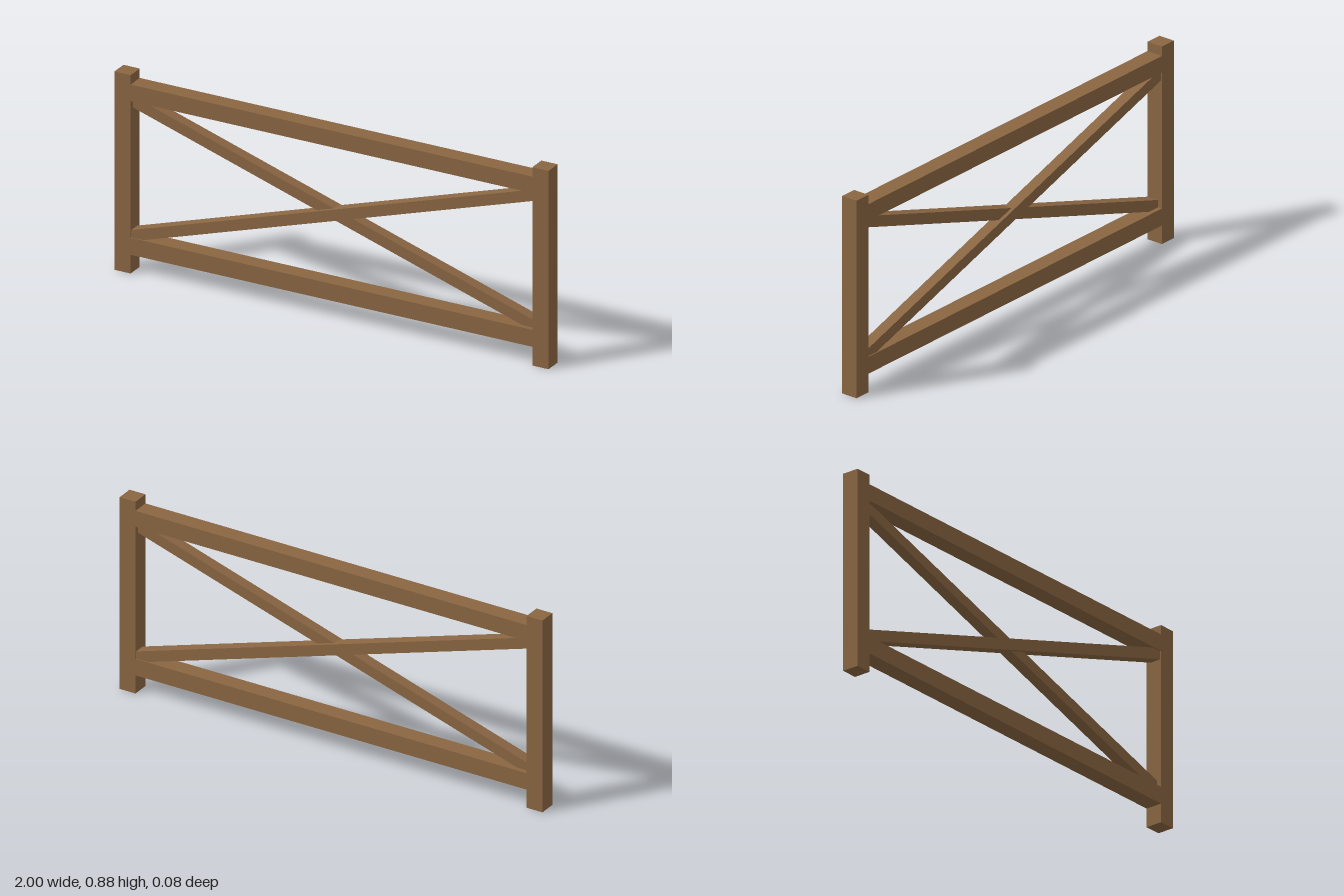
import * as THREE from 'three';

export function createModel() {
  const group = new THREE.Group();
  const wood = new THREE.MeshStandardMaterial({ color: 0x8a6642 });
  wood.name = 'brown wood';

  function beam(name, size, position, tilt = 0) {
    const mesh = new THREE.Mesh(new THREE.BoxGeometry(...size), wood);
    mesh.name = name;
    mesh.position.set(...position);
    mesh.rotation.z = tilt;
    group.add(mesh);
  }

  const depth = 0.075, postHeight = 0.875;
  const inner = 2 - 2 * depth; // clear span between the posts

  // End posts
  beam('leftPost', [depth, postHeight, depth], [1 - depth / 2, postHeight / 2, 0]);
  beam('rightPost', [depth, postHeight, depth], [depth / 2 - 1, postHeight / 2, 0]);

  // Horizontal rails, flush with the posts
  beam('topRail', [inner, 0.073, depth], [0, 0.797, 0]);
  beam('bottomRail', [inner, 0.075, depth], [0, 0.12, 0]);

  // Crossed braces, one slightly forward and one slightly back, ends let into the posts
  const tilt = Math.atan(0.316);
  const length = 1.89 / Math.cos(tilt);
  beam('frontBrace', [length, 0.048, 0.05], [0, 0.457, 0.008], tilt);
  beam('backBrace', [length, 0.048, 0.05], [0, 0.457, -0.008], -tilt);

  return group;
}
